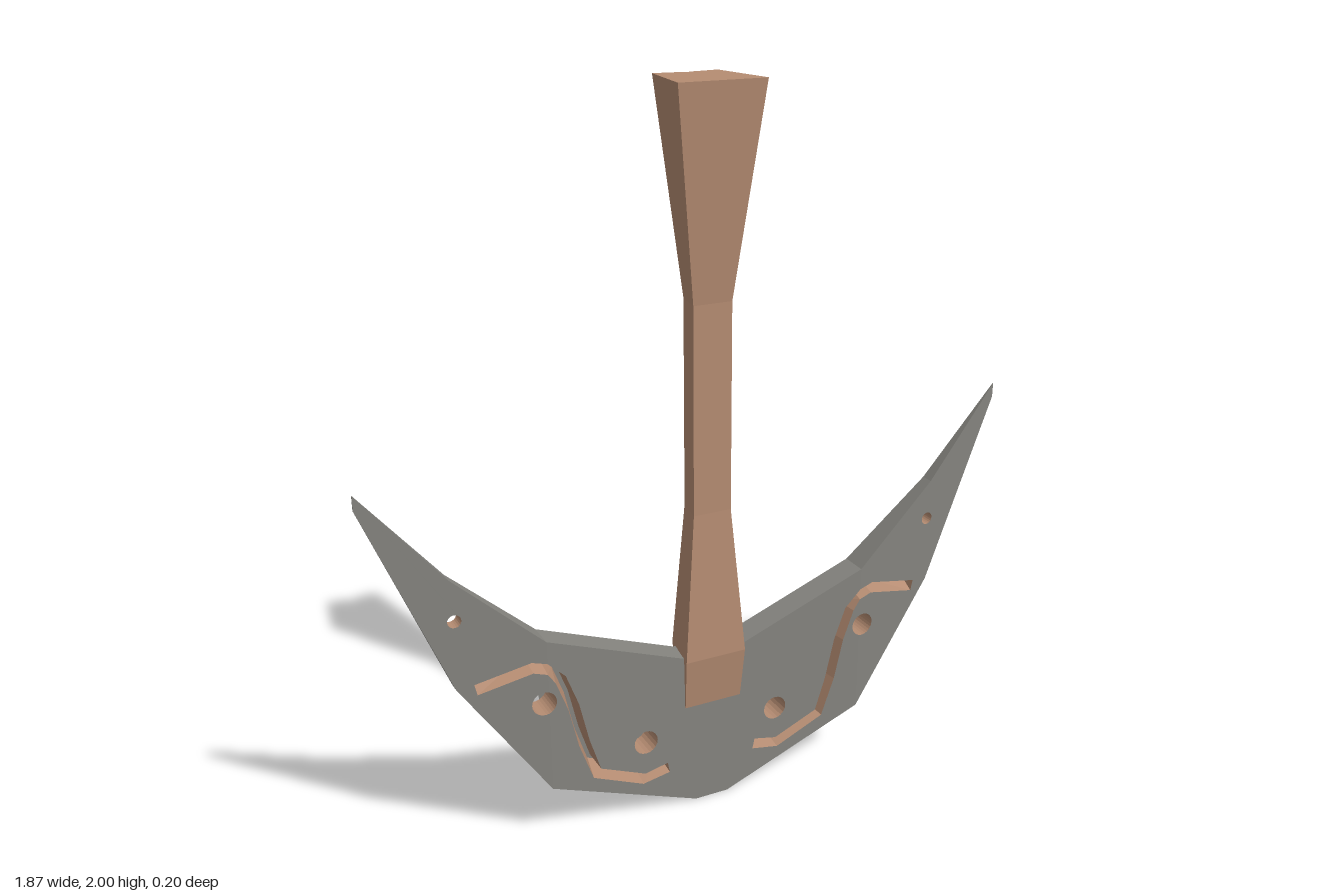
import * as THREE from 'three';

const mat = (color) => new THREE.MeshStandardMaterial({ color, flatShading: true, side: THREE.DoubleSide });
const steel = mat(0x85847f);
const wood = mat(0xb58c72);

const BEND = 0.48, TIP = 0.935, MID = 0.005;
// Half thickness of the blade: constant in the middle, thinning to the tip.
const half = (x) => 0.04 * (x <= BEND ? 1 : Math.max(0.03, (TIP - x) / (TIP - BEND)));
const V = (x, y) => new THREE.Vector2(x, y);

function mesh(name, geometry, material) {
  const m = new THREE.Mesh(geometry, material);
  m.name = name;
  return m;
}

// Flat panel laid on the front (side 1) or back (side -1) of the blade.
function panel(name, outline, holes, side) {
  const shape = new THREE.Shape(outline);
  holes.forEach((h) => shape.holes.push(new THREE.Path(h)));
  const g = new THREE.ShapeGeometry(shape);
  const p = g.attributes.position;
  for (let i = 0; i < p.count; i++) p.setZ(i, MID + side * half(p.getX(i)));
  if (side < 0) g.setIndex(Array.from(g.index.array).reverse());
  g.computeVertexNormals();
  return mesh(name, g, steel);
}

// Wall joining a line on the front to a matching line on the back.
function wall(name, front, back, material, closed) {
  const pos = [], idx = [], n = front.length;
  for (let i = 0; i < n; i++) {
    const a = front[i], b = back[i];
    pos.push(a.x, a.y, MID + half(a.x), b.x, b.y, MID - half(b.x));
  }
  for (let i = 0; i < (closed ? n : n - 1); i++) {
    const a = 2 * i, b = 2 * ((i + 1) % n);
    idx.push(a, a + 1, b, b, a + 1, b + 1);
  }
  const g = new THREE.BufferGeometry();
  g.setAttribute('position', new THREE.Float32BufferAttribute(pos, 3));
  g.setIndex(idx);
  g.computeVertexNormals();
  return mesh(name, g, material);
}

// Arc of points, ends included.
function arc(cx, cy, r, from, to, n) {
  return Array.from({ length: n + 1 }, (_, i) => {
    const a = from + ((to - from) * i) / n;
    return V(cx + r * Math.cos(a), cy + r * Math.sin(a));
  });
}
const circle = (cx, cy, r) => arc(cx, cy, r, 0, Math.PI * 2, 20).slice(0, -1);

// Decorative groove: centre line from the outer end to the inner end.
const LINE = [[0.67, 0.51], [0.52, 0.542], [BEND, 0.53], [0.445, 0.49], [0.412, 0.4],
  [0.385, 0.28], [0.35, 0.175], [0.21, 0.115], [0.135, 0.13]].map(([x, y]) => V(x, y));
const CREASE = 2;
function grooveEdge(offset) {
  return LINE.map((p, i) => {
    const t = LINE[Math.min(i + 1, LINE.length - 1)].clone().sub(LINE[Math.max(i - 1, 0)]).normalize();
    const n = i === CREASE ? V(0, -1) : V(-t.y, t.x);
    return p.clone().addScaledVector(n, offset);
  });
}

function bladeHalf() {
  const g = new THREE.Group();
  g.name = 'bladeHalf';

  // Outline, split at the crease where the wing begins to thin.
  const lower = [V(0, 0), V(0.05, 0), V(BEND, 0.165)];
  const upper = [V(BEND, 0.61), V(0.08, 0.46), V(0, 0.46)];
  const wing = [V(0.72, 0.52), V(0.933, 1.05), V(0.933, 1.09), V(0.72, 0.83)];

  // Holes: the large one and the groove straddle the crease.
  const blind = circle(0.203, 0.23, 0.035);
  const small = circle(0.713, 0.715, 0.018);
  const cx = 0.492, cy = 0.43, r = 0.034;
  const a = Math.acos((BEND - cx) / r);
  const bigIn = arc(cx, cy, r, Math.PI * 2 - a, a, 10);
  const bigOut = arc(cx, cy, r, -a, a, 16);
  const top = grooveEdge(-0.016);
  const low = grooveEdge(0.016);
  const lowBack = grooveEdge(-0.004);

  // Notches run upward along the crease.
  const notchIn = [...bigIn, ...low.slice(CREASE), ...top.slice(CREASE).reverse()];
  const notchOut = (lo) => [...bigOut, ...lo.slice(0, CREASE + 1).reverse(), ...top.slice(0, CREASE + 1)];
  const wingOutline = (lo) => [lower[2], ...wing, upper[0], ...notchOut(lo).reverse()];

  g.add(
    panel('bladeFront', [...lower, ...notchIn, ...upper], [blind], 1),
    panel('bladeBack', [...lower, ...upper], [], -1),
    panel('wingFront', wingOutline(low), [small], 1),
    panel('wingBack', wingOutline(lowBack), [small], -1),
  );

  const rim = [...lower, ...wing, ...upper];
  g.add(wall('bladeRim', rim, rim, steel, false));

  const big = [...bigOut, ...bigIn.slice(1, -1).reverse()];
  [['innerHole', blind], ['middleHole', big], ['outerHole', small]].forEach(([name, h]) =>
    g.add(wall(name, h, h, wood, true)));
  g.add(wall('groove', [...top, ...low.slice().reverse()], [...top, ...lowBack.slice().reverse()], wood, true));
  return g;
}

// Handle: five-sided section with a narrow channel down the back.
function handle() {
  // y, half width at front, half width at back, front z, back z
  const rings = [
    [0.31, 0.085, 0.065, 0.052, -0.042],
    [0.46, 0.09, 0.068, 0.07, -0.065],
    [0.88, 0.055, 0.042, 0.046, -0.036],
    [1.45, 0.055, 0.042, 0.046, -0.036],
    [2.0, 0.12, 0.09, 0.1, -0.105],
  ];
  const pos = [], idx = [];
  rings.forEach(([y, w, b, f, k]) => {
    const c = k + 0.01;
    [[-w, f], [w, f], [b, k], [0.012, c], [0, c + 0.006], [-0.012, c], [-b, k]]
      .forEach(([x, z]) => pos.push(x, y, z));
  });
  const n = 7, last = (rings.length - 1) * n;
  for (let j = 0; j < rings.length - 1; j++) {
    for (let i = 0; i < n; i++) {
      const a = j * n + i, b = j * n + ((i + 1) % n);
      idx.push(a, b, b + n, a, b + n, a + n);
    }
  }
  // End caps fan out from the middle of the channel.
  for (let i = 5; i < n + 3; i++) {
    const a = i % n, b = (i + 1) % n;
    if (b === 4) continue;
    idx.push(4, b, a, last + 4, last + a, last + b);
  }
  const g = new THREE.BufferGeometry();
  g.setAttribute('position', new THREE.Float32BufferAttribute(pos, 3));
  g.setIndex(idx);
  g.computeVertexNormals();
  return mesh('handle', g, wood);
}

export function createModel() {
  const model = new THREE.Group();
  model.name = 'axe';
  const left = bladeHalf();
  left.name = 'leftBlade';
  const right = bladeHalf();
  right.name = 'rightBlade';
  right.scale.x = -1;
  model.add(left, right, handle());
  return model;
}
